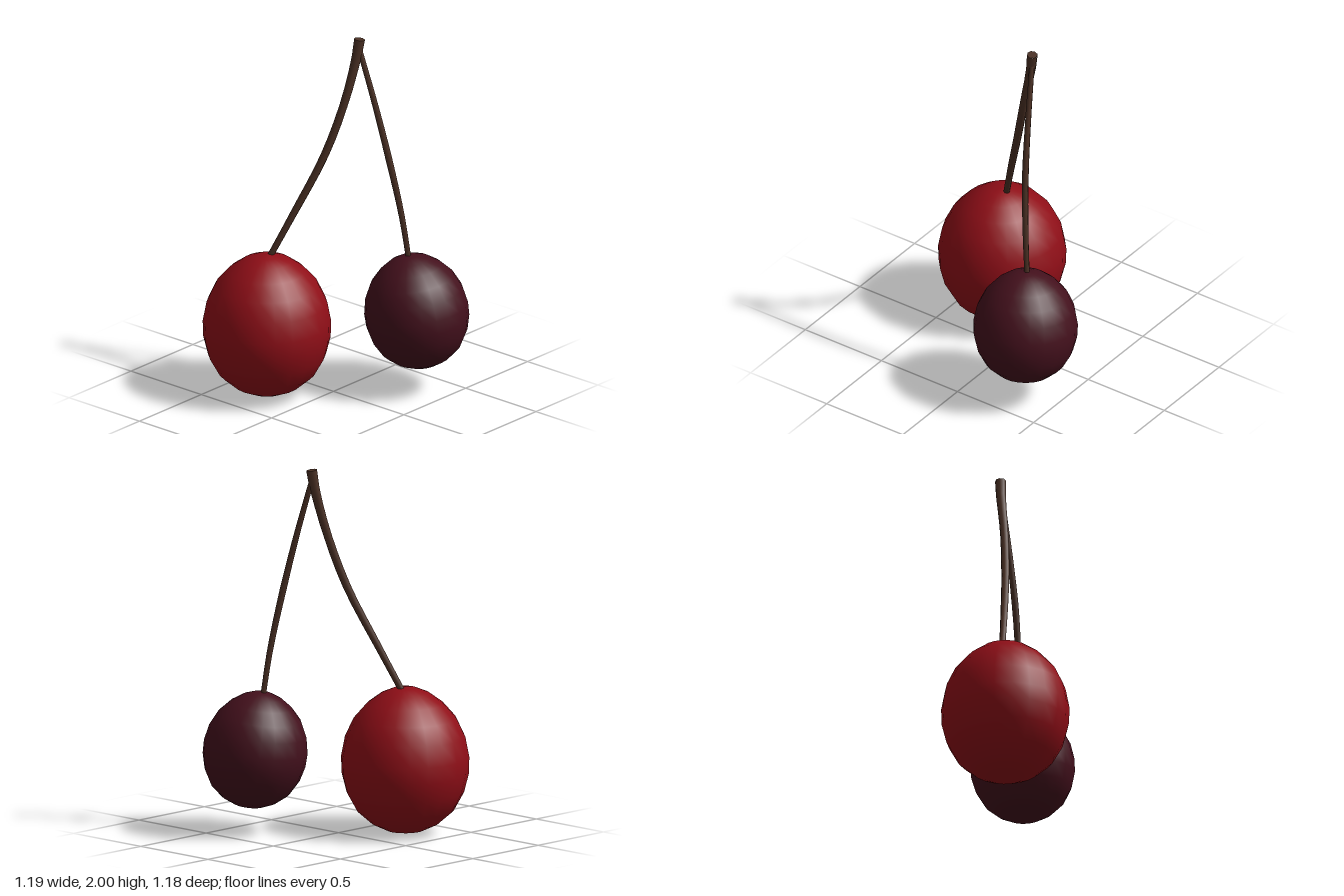
import * as THREE from 'three';

const mat = (color) => new THREE.MeshStandardMaterial({ color, roughness: 0.7 });

// Fruit outline from bottom to top: [radius, height]
const PROFILE = [
  [0, 0.005], [0.1, 0.022], [0.18, 0.06], [0.26, 0.13], [0.315, 0.23], [0.34, 0.33],
  [0.343, 0.42], [0.322, 0.53], [0.275, 0.63], [0.205, 0.71], [0.13, 0.765], [0.06, 0.794], [0, 0.8],
];
const MID = 0.4;

function makeFruit(name, color, center, scale, tiltX, tiltZ) {
  const points = PROFILE.map(([r, y]) => new THREE.Vector2(r, y - MID));
  const mesh = new THREE.Mesh(new THREE.LatheGeometry(points, 22), mat(color));
  mesh.name = name;
  mesh.position.set(...center);
  mesh.scale.set(...scale);
  mesh.rotation.set(tiltX, 0, tiltZ);
  return mesh;
}

// Tube along a curve, its rings scaled to the given radii, with a flat end cap
function makeStem(name, path, radii, material) {
  const group = new THREE.Group();
  group.name = name;
  const curve = new THREE.CatmullRomCurve3(path.map((p) => new THREE.Vector3(...p)));
  const rings = 14, sides = 8;
  const geo = new THREE.TubeGeometry(curve, rings, 1, sides);
  const pos = geo.attributes.position;
  const v = new THREE.Vector3();
  for (let i = 0; i <= rings; i++) {
    const t = i / rings;
    const c = curve.getPointAt(t);
    const f = t * (radii.length - 1);
    const k = Math.min(Math.floor(f), radii.length - 2);
    const r = THREE.MathUtils.lerp(radii[k], radii[k + 1], f - k);
    for (let j = 0; j <= sides; j++) {
      const n = i * (sides + 1) + j;
      v.fromBufferAttribute(pos, n).sub(c).multiplyScalar(r).add(c);
      pos.setXYZ(n, v.x, v.y, v.z);
    }
  }
  const tube = new THREE.Mesh(geo, material);
  tube.name = name + 'Shaft';
  const cap = new THREE.Mesh(new THREE.CircleGeometry(radii[radii.length - 1], sides), material);
  cap.name = name + 'End';
  cap.position.copy(curve.getPointAt(1));
  cap.quaternion.setFromUnitVectors(new THREE.Vector3(0, 0, 1), curve.getTangentAt(1));
  group.add(tube, cap);
  return group;
}

export function createModel() {
  const model = new THREE.Group();
  model.name = 'cherryPair';
  const bark = mat(0x4a3024);

  // Two cherries, the smaller one darker and leaning
  model.add(makeFruit('redCherry', 0x8f0e17, [-0.255, MID, 0.248], [1, 1, 1], 0, 0));
  model.add(makeFruit('darkCherry', 0x43101c, [0.314, 0.458, -0.314], [0.815, 0.8, 0.815], 0.06, 0.12));

  // Stems meeting at the top; the main one ends in a slight flare
  model.add(makeStem('mainStem', [
    [-0.265, 0.76, 0.23], [-0.175, 1.01, 0.135], [-0.06, 1.35, 0.005],
    [0.005, 1.65, -0.085], [0.036, 1.92, -0.153], [0.042, 1.997, -0.163],
  ], [0.017, 0.018, 0.02, 0.021, 0.022, 0.022, 0.024, 0.029], bark));
  model.add(makeStem('sideStem', [
    [0.277, 0.73, -0.298], [0.25, 1.0, -0.268], [0.2, 1.3, -0.23],
    [0.125, 1.63, -0.195], [0.045, 1.93, -0.163],
  ], [0.014, 0.016, 0.018, 0.016, 0.014], bark));

  return model;
}
